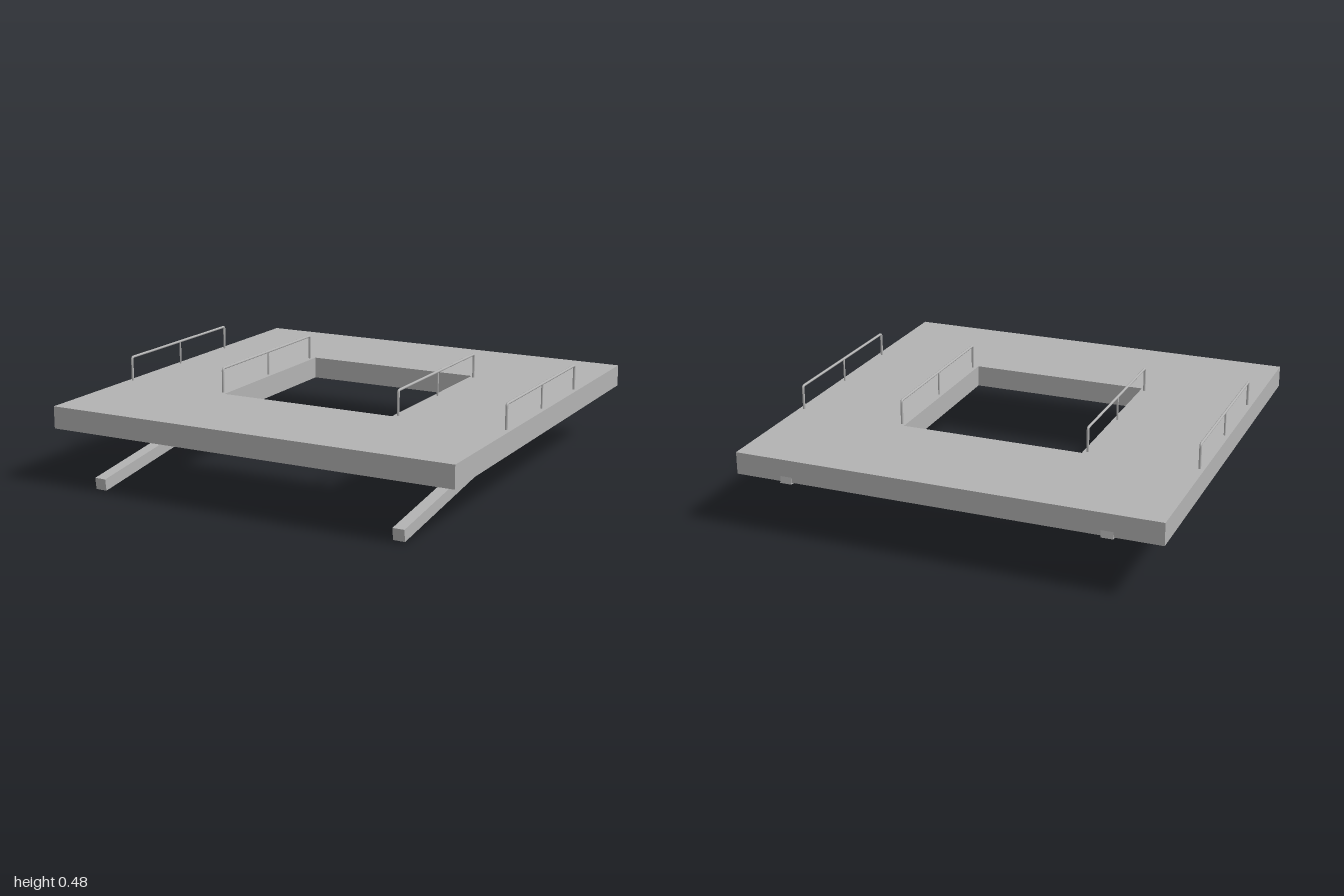
import * as THREE from 'three';

export function createModel() {
  const model = new THREE.Group();
  model.name = 'platform';
  const grey = new THREE.MeshStandardMaterial({ color: 0xb3b3b3 });
  grey.name = 'plain grey';

  const add = (name, geometry, x, y, z, parent = model) => {
    const mesh = new THREE.Mesh(geometry, grey);
    mesh.name = name;
    mesh.position.set(x, y, z);
    parent.add(mesh);
    return mesh;
  };

  // Deck: four slabs around a square opening
  const OUT = 0.996, IN = 0.437, BOTTOM = 0.257, TOP = 0.361;
  const thick = TOP - BOTTOM, deckY = (TOP + BOTTOM) / 2;
  const band = OUT - IN, mid = (OUT + IN) / 2;
  for (const s of [-1, 1]) {
    const side = s > 0 ? 'left' : 'right';
    add(`${side}DeckSlab`, new THREE.BoxGeometry(band, thick, 2 * OUT), s * mid, deckY, 0);
    add(s > 0 ? 'frontDeckSlab' : 'backDeckSlab',
      new THREE.BoxGeometry(2 * IN, thick, band), 0, deckY, s * mid);

    // Sloping beam under each side, low at the front
    const beam = add(`${side}Beam`, new THREE.BoxGeometry(0.055, 0.055, 2.0086), s * 0.749, 0.152, 0);
    beam.rotation.x = Math.atan(0.125);
  }

  // Handrail: bent tube hoop with a thinner middle post
  const RAIL_TOP = 0.476, HALF = 0.414, BEND = 0.012, R = 0.006;
  const v = (y, z) => new THREE.Vector3(0, y, z);
  const path = new THREE.CurvePath();
  path.add(new THREE.LineCurve3(v(TOP, -HALF), v(RAIL_TOP - BEND, -HALF)));
  path.add(new THREE.QuadraticBezierCurve3(
    v(RAIL_TOP - BEND, -HALF), v(RAIL_TOP, -HALF), v(RAIL_TOP, -HALF + BEND)));
  path.add(new THREE.LineCurve3(v(RAIL_TOP, -HALF + BEND), v(RAIL_TOP, HALF - BEND)));
  path.add(new THREE.QuadraticBezierCurve3(
    v(RAIL_TOP, HALF - BEND), v(RAIL_TOP, HALF), v(RAIL_TOP - BEND, HALF)));
  path.add(new THREE.LineCurve3(v(RAIL_TOP - BEND, HALF), v(TOP, HALF)));
  const hoop = new THREE.TubeGeometry(path, 240, R, 10);
  const post = new THREE.CylinderGeometry(0.0045, 0.0045, RAIL_TOP - TOP, 10);

  for (const x of [-0.973, -0.457, 0.457, 0.973]) {
    const rail = new THREE.Group();
    rail.name = `${Math.abs(x) > 0.7 ? 'outer' : 'inner'}${x > 0 ? 'Left' : 'Right'}Handrail`;
    rail.position.x = x;
    add('railHoop', hoop, 0, 0, 0, rail);
    add('railMiddlePost', post, 0, (RAIL_TOP + TOP) / 2, 0, rail);
    model.add(rail);
  }
  return model;
}
